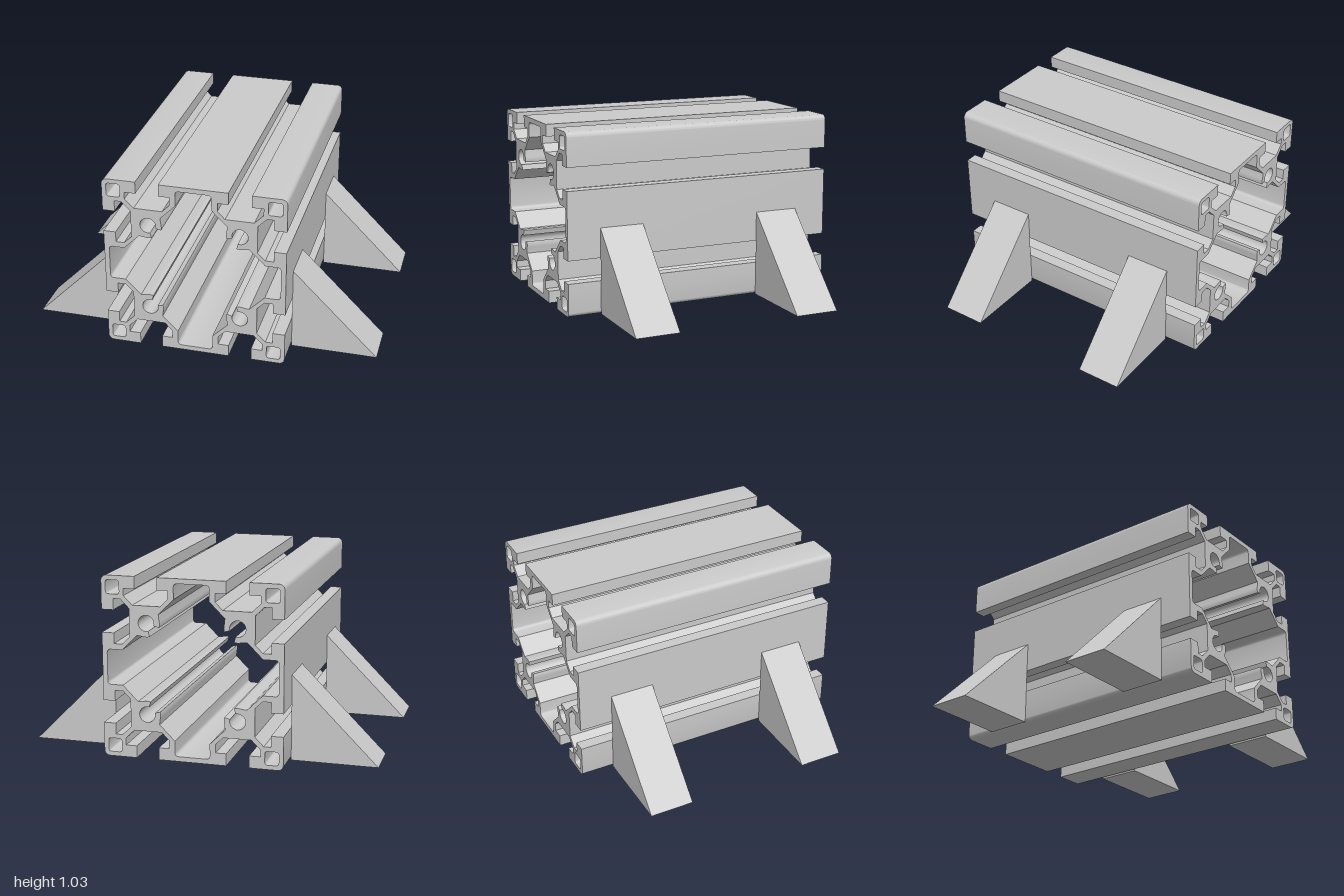
import * as THREE from 'three';
import { toCreasedNormals } from 'three/addons/utils/BufferGeometryUtils.js';

const HALF = 0.513;     // half width of the square profile
const LENGTH = 1.6;
const CORE = 0.2575;    // centre of each screw channel

// Points on an arc, angles in degrees
function arc(cx, cy, r, from, to, steps) {
  return Array.from({ length: steps + 1 }, (_, i) => {
    const a = THREE.MathUtils.degToRad(from + (to - from) * i / steps);
    return [cx + r * Math.cos(a), cy + r * Math.sin(a)];
  });
}

// Mirror an eighth (ending on the diagonal) into a quarter, then turn it four times.
// The result runs counter-clockwise.
function fourfold(eighth) {
  const mirrored = eighth.slice(0, -1).reverse().map(([x, y]) => [y, x]);
  const points = [];
  let quarter = [...eighth, ...mirrored];
  for (let i = 0; i < 4; i++) {
    points.push(...quarter.map(([x, y]) => new THREE.Vector2(x, y)));
    quarter = quarter.map(([x, y]) => [y, -x]);
  }
  return points.reverse();
}

function profileShape() {
  // Outside: lips, T-slots, core blocks and rounded corners
  const shape = new THREE.Shape(fourfold([
    [0.193, HALF], [0.193, 0.444], [0.133, 0.444], [0.133, 0.397],
    [0.175, 0.354], [0.335, 0.354], [0.385, 0.404], [0.385, 0.444],
    [0.322, 0.444], [0.322, HALF],
    ...arc(HALF - 0.03, HALF - 0.03, 0.03, 90, 45, 4),
  ]));

  // Central cavity, including the four open screw channels with curled lips
  shape.holes.push(new THREE.Path(fourfold([
    ...arc(0.082, 0.467, 0.018, 90, 0, 4),
    [0.1, 0.397], [0.187, 0.31],
    ...arc(CORE, CORE, 0.077, 165, 195, 4),
    ...arc(CORE, CORE, 0.045, 195, 45, 12),
  ])));

  // Square hollow in each corner
  const c = 0.449, s = 0.039, r = 0.014;
  for (const x of [-c, c]) for (const y of [-c, c]) {
    const points = [0, 90, 180, 270].flatMap((start) => {
      const sx = start === 0 || start === 270 ? 1 : -1;
      const sy = start < 180 ? 1 : -1;
      return arc(x + sx * (s - r), y + sy * (s - r), r, start, start + 90, 4);
    });
    shape.holes.push(new THREE.Path(points.map(([px, py]) => new THREE.Vector2(px, py))));
  }
  return shape;
}

export function createModel() {
  const model = new THREE.Group();
  model.name = 'slottedProfileWithGussets';
  const metal = new THREE.MeshStandardMaterial({ color: 0xcbcbcb });
  metal.name = 'greyMetal';

  // Slotted beam running front to back
  const beamGeometry = new THREE.ExtrudeGeometry(profileShape(), {
    depth: LENGTH, bevelEnabled: false,
  });
  beamGeometry.translate(0, HALF, -LENGTH / 2);
  const beam = new THREE.Mesh(toCreasedNormals(beamGeometry, 0.6), metal);
  beam.name = 'slottedBeam';
  model.add(beam);

  // Triangular support gussets, two on each side
  const width = 0.254;
  for (const side of [-1, 1]) {
    const triangle = new THREE.Shape([
      new THREE.Vector2(side * HALF, 0),
      new THREE.Vector2(side, 0),
      new THREE.Vector2(side * HALF, 0.488),
    ]);
    const geometry = new THREE.ExtrudeGeometry(triangle, { depth: width, bevelEnabled: false });
    geometry.translate(0, 0, -width / 2);
    for (const z of [-0.482, 0.482]) {
      const gusset = new THREE.Mesh(geometry, metal);
      gusset.name = `${side > 0 ? 'left' : 'right'}${z > 0 ? 'Front' : 'Back'}Gusset`;
      gusset.position.z = z;
      model.add(gusset);
    }
  }
  return model;
}
